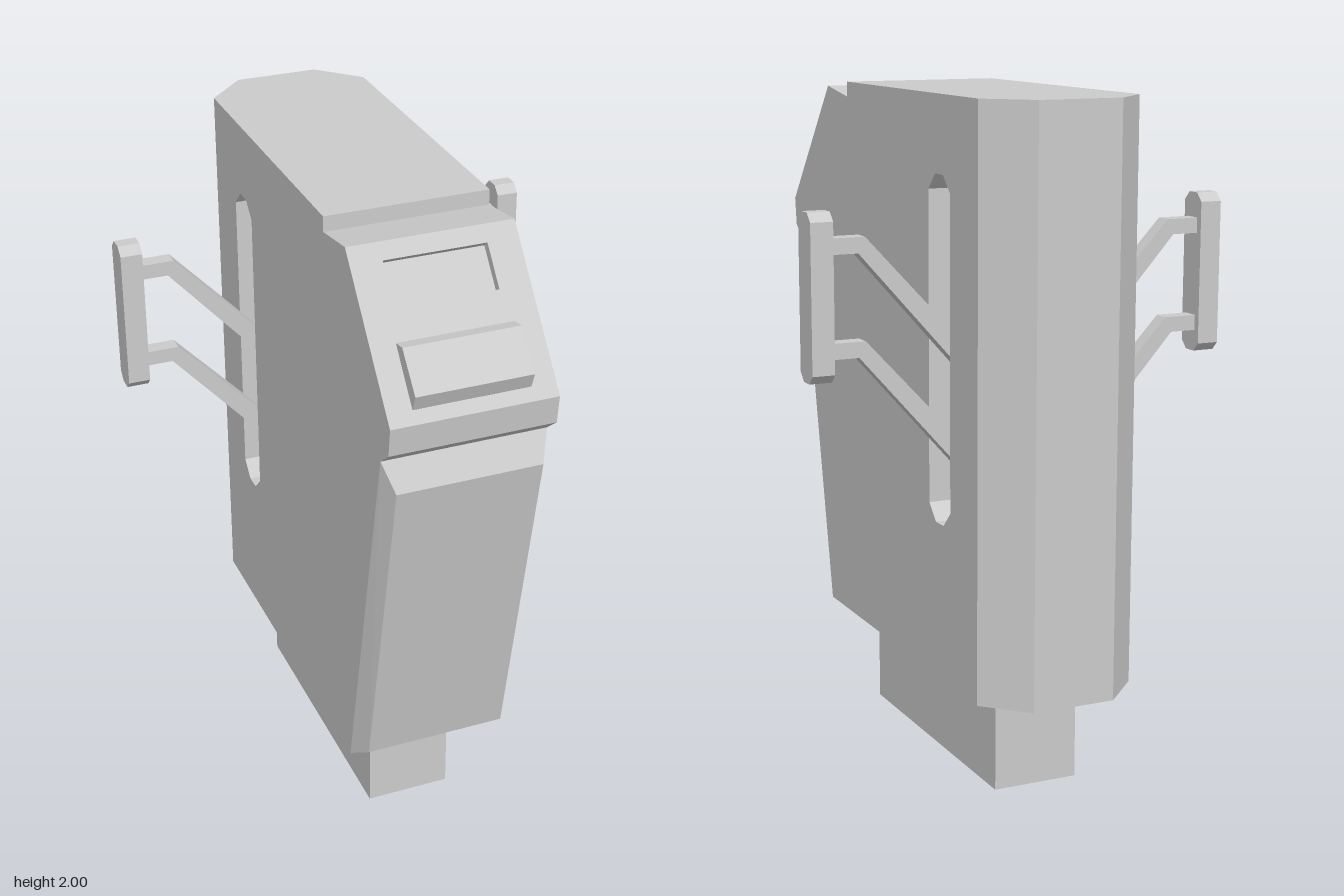
import * as THREE from 'three';
import { ConvexGeometry } from 'three/addons/geometries/ConvexGeometry.js';

const grey = new THREE.MeshStandardMaterial({ color: 0xcccccc, flatShading: true });
const greyOpen = new THREE.MeshStandardMaterial({ color: 0xcccccc, flatShading: true, side: THREE.DoubleSide });

const toPoints = (list) => list.map(([a, b]) => new THREE.Vector2(a, b));

// Side profile given as [z, y], extruded across x from x0 to x1
function acrossX(profile, x0, x1, hole) {
  const shape = new THREE.Shape(toPoints(profile));
  if (hole) shape.holes.push(new THREE.Path(toPoints(hole)));
  const g = new THREE.ExtrudeGeometry(shape, { depth: x1 - x0, bevelEnabled: false });
  return g.rotateY(-Math.PI / 2).translate(x1, 0, 0);
}

// Tall octagon as [z, y]
function octagon(z, y0, y1, halfWidth, cut) {
  const w = halfWidth, n = halfWidth - cut;
  return [[z - n, y0], [z + n, y0], [z + w, y0 + cut], [z + w, y1 - cut],
    [z + n, y1], [z - n, y1], [z - w, y1 - cut], [z - w, y0 + cut]];
}

// Convex solid from [x, y, z] corners mirrored in x
function mirroredHull(corners) {
  const pts = [];
  for (const [x, y, z] of corners) {
    pts.push(new THREE.Vector3(x, y, z), new THREE.Vector3(-x, y, z));
  }
  return new ConvexGeometry(pts);
}

export function createModel() {
  const model = new THREE.Group();
  const add = (name, geometry, parent = model, material = grey) => {
    const mesh = new THREE.Mesh(geometry, material);
    mesh.name = name;
    parent.add(mesh);
    return mesh;
  };

  const W = 0.243;      // half width of the body
  const CORE = 0.15;    // half width of the core, where the recesses end
  const armZ = -0.392;

  // Body: core with a display pocket, side plates with slots
  const lower = [[-0.645, 2], [-0.645, 0.315], [0.47, 0.315], [0.7, 1.47], [0.755, 1.515], [0.765, 1.6]];
  const pocket = [[0.566, 1.84], [0.547, 1.824], [0.464, 1.924], [0.483, 1.94]];
  const upper = [[0.45, 1.98], [0.29, 1.955], [0.29, 2]];
  add('bodyCore', acrossX([...lower, ...pocket, ...upper], -CORE, CORE));
  const slot = octagon(armZ, 0.78, 1.78, 0.073, 0.047);
  add('leftSidePlate', acrossX([...lower, ...upper], CORE, W, slot));
  add('rightSidePlate', acrossX([...lower, ...upper], -W, -CORE, slot));

  // Chamfered back
  add('back', mirroredHull([
    [W, 0.315, -0.645], [W, 2, -0.645], [0.125, 0.315, -0.765], [0.125, 2, -0.765],
  ]));

  // Bevelled front panel
  add('frontPanel', mirroredHull([
    [W, 0.315, 0.47], [W, 1.47, 0.7], [0.215, 0.37, 0.55], [0.215, 1.385, 0.745],
  ]));

  // Raised block under the display pocket
  add('raisedBlock', acrossX([[0.6, 1.75], [0.72, 1.61], [0.74, 1.632], [0.757, 1.677], [0.667, 1.777], [0.624, 1.77]], -0.17, 0.17));

  // Hollow foot, open underneath
  const foot = new THREE.CylinderGeometry(Math.SQRT1_2, Math.SQRT1_2, 0.315, 4, 1, true);
  foot.rotateY(Math.PI / 4).scale(0.26, 1, 0.875).translate(0, 0.1575, -0.093);
  add('foot', foot, model, greyOpen);

  // Handles: two bent arms and a pad on each side
  const armOutline = [[0.13, 1.254], [0.13, 1.168], [0.495, 1.577], [0.59, 1.577], [0.59, 1.622], [0.475, 1.622]];
  for (const side of [1, -1]) {
    const handle = new THREE.Group();
    handle.name = side > 0 ? 'leftHandle' : 'rightHandle';
    model.add(handle);
    for (const [name, drop] of [['upperArm', 0], ['lowerArm', 0.289]]) {
      const shape = new THREE.Shape(toPoints(armOutline.map(([x, y]) => [x * side, y - drop])));
      const arm = new THREE.ExtrudeGeometry(shape, { depth: 0.05, bevelEnabled: false });
      add(name, arm.translate(0, 0, armZ - 0.025), handle);
    }
    const pad = octagon(armZ, 1.225, 1.695, 0.046, 0.025);
    add('pad', side > 0 ? acrossX(pad, 0.575, 0.641) : acrossX(pad, -0.641, -0.575), handle);
  }
  return model;
}
